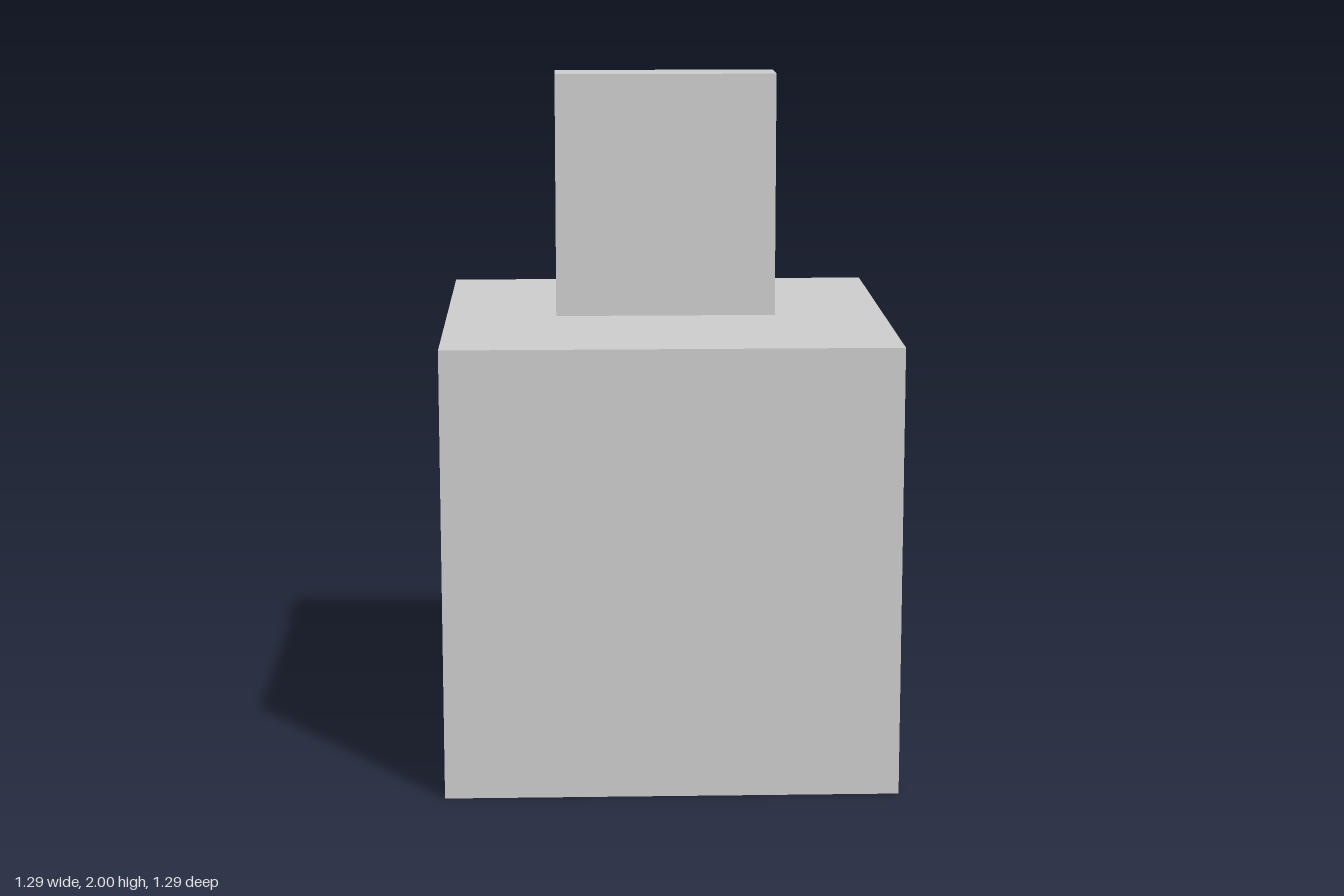
import * as THREE from 'three';

export function createModel() {
  const group = new THREE.Group();
  const material = new THREE.MeshStandardMaterial({ color: 0xcccccc, flatShading: true });

  // Box standing with its underside at the given height
  const addBox = (name, width, height, depth, bottom) => {
    const mesh = new THREE.Mesh(new THREE.BoxGeometry(width, height, depth), material);
    mesh.name = name;
    mesh.position.y = bottom + height / 2;
    group.add(mesh);
  };

  // Cubic base
  addBox('base', 1.29, 1.29, 1.29, 0);
  // Upright slab centred on the base
  addBox('uprightSlab', 0.645, 0.71, 0.155, 1.29);

  return group;
}
